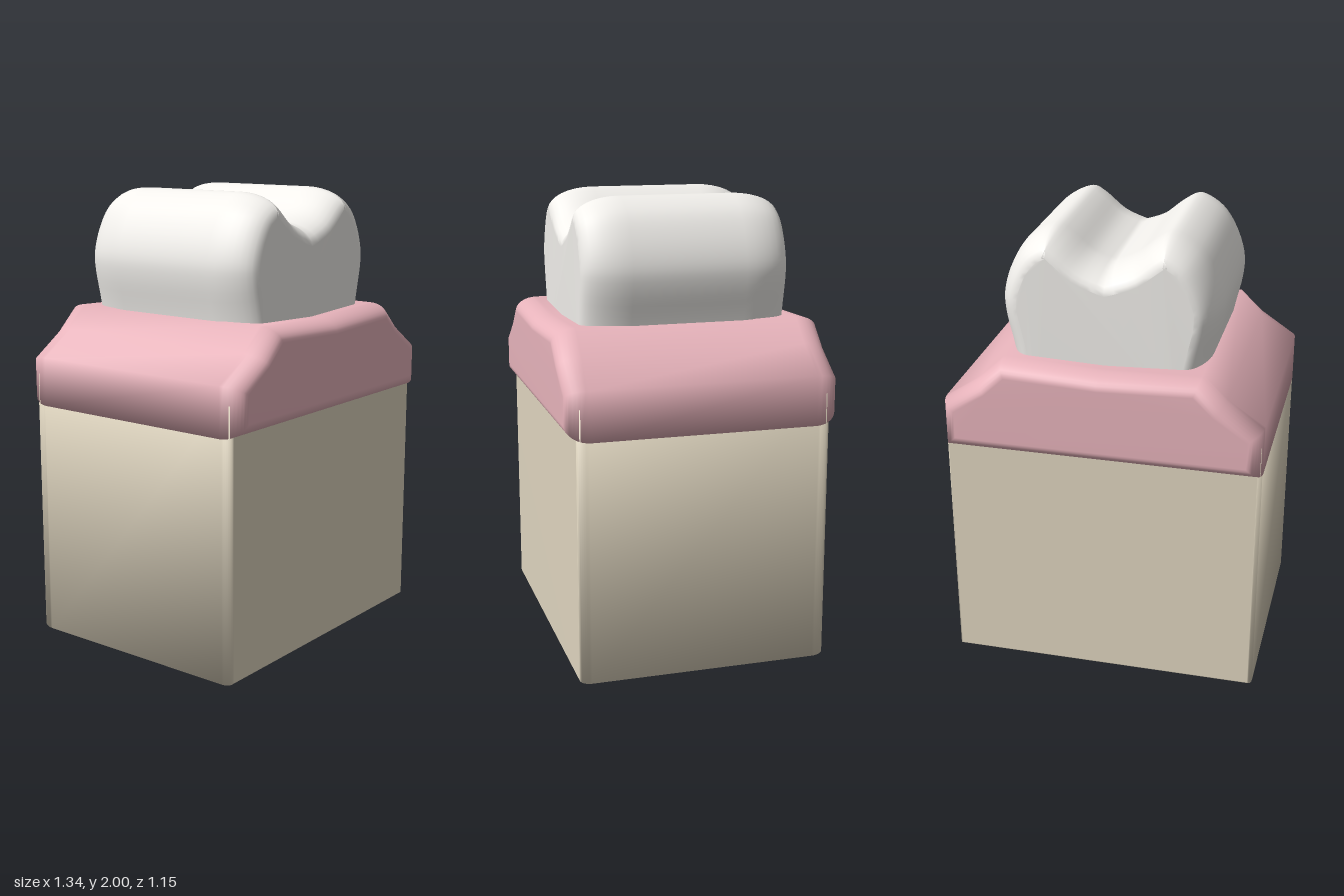
import * as THREE from 'three';
import { mergeVertices } from 'three/addons/utils/BufferGeometryUtils.js';

// Smooth extrusion along z with rounded front and back rims; the outline is the outermost contour.
function slab(name, outline, halfDepth, rimSize, rimDepth, color) {
  let geo = new THREE.ExtrudeGeometry(new THREE.Shape(outline), {
    depth: 2 * (halfDepth - rimDepth), steps: 1, curveSegments: 1,
    bevelEnabled: true, bevelSize: rimSize, bevelOffset: -rimSize,
    bevelThickness: rimDepth, bevelSegments: 8,
  });
  geo.translate(0, 0, rimDepth - halfDepth);
  geo.deleteAttribute('uv');
  geo.deleteAttribute('normal');
  geo = mergeVertices(geo, 1e-4);
  geo.computeVertexNormals();
  const mesh = new THREE.Mesh(geo, new THREE.MeshStandardMaterial({ color }));
  mesh.name = name;
  return mesh;
}

const toPoints = (list) => list.map(([x, y]) => new THREE.Vector2(x, y));

// Closes a left-half outline (bottom to centre top) with its mirror image.
function mirrored(half) {
  const right = half.filter((p) => p.x < -1e-4).reverse().map((p) => new THREE.Vector2(-p.x, p.y));
  return [...half, ...right].reverse();
}

export function createModel() {
  const model = new THREE.Group();

  // Jawbone block
  const bone = mirrored(toPoints([[-0.67, 0.055], [-0.67, 1.22]]));
  model.add(slab('jawbone', bone, 0.535, 0.016, 0.05, 0xe0d6c0));

  // Gum saddle over the block
  const gum = mirrored(toPoints([
    [-0.672, 1.08], [-0.672, 1.29], [-0.515, 1.395], [-0.413, 1.492], [0, 1.475],
  ]));
  model.add(slab('gum', gum, 0.575, 0.06, 0.1, 0xe8b4bc));

  // Crown with two cusps and a groove between them
  const crownHalf = new THREE.SplineCurve(toPoints([
    [-0.37, 1.22], [-0.415, 1.48], [-0.45, 1.64], [-0.452, 1.74], [-0.415, 1.85],
    [-0.35, 1.945], [-0.25, 2.0], [-0.18, 1.972], [-0.09, 1.9], [0, 1.865],
  ])).getPoints(36);
  model.add(slab('crown', mirrored(crownHalf), 0.442, 0.09, 0.2, 0xf2f0ec));

  // Nerve and vessel pairs emerging below the block
  const strand = new THREE.CapsuleGeometry(0.013, 0.3, 4, 12);
  for (const side of [-1, 1]) {
    const pair = new THREE.Group();
    pair.name = side < 0 ? 'rightRootStrands' : 'leftRootStrands';
    for (const [name, dx, color] of [['nerve', -0.012, 0xe0d488], ['vessel', 0.012, 0xd9606a]]) {
      const mesh = new THREE.Mesh(strand, new THREE.MeshStandardMaterial({ color }));
      mesh.name = name;
      mesh.position.set(side * 0.193 + dx, 0.163, 0);
      pair.add(mesh);
    }
    model.add(pair);
  }
  return model;
}
